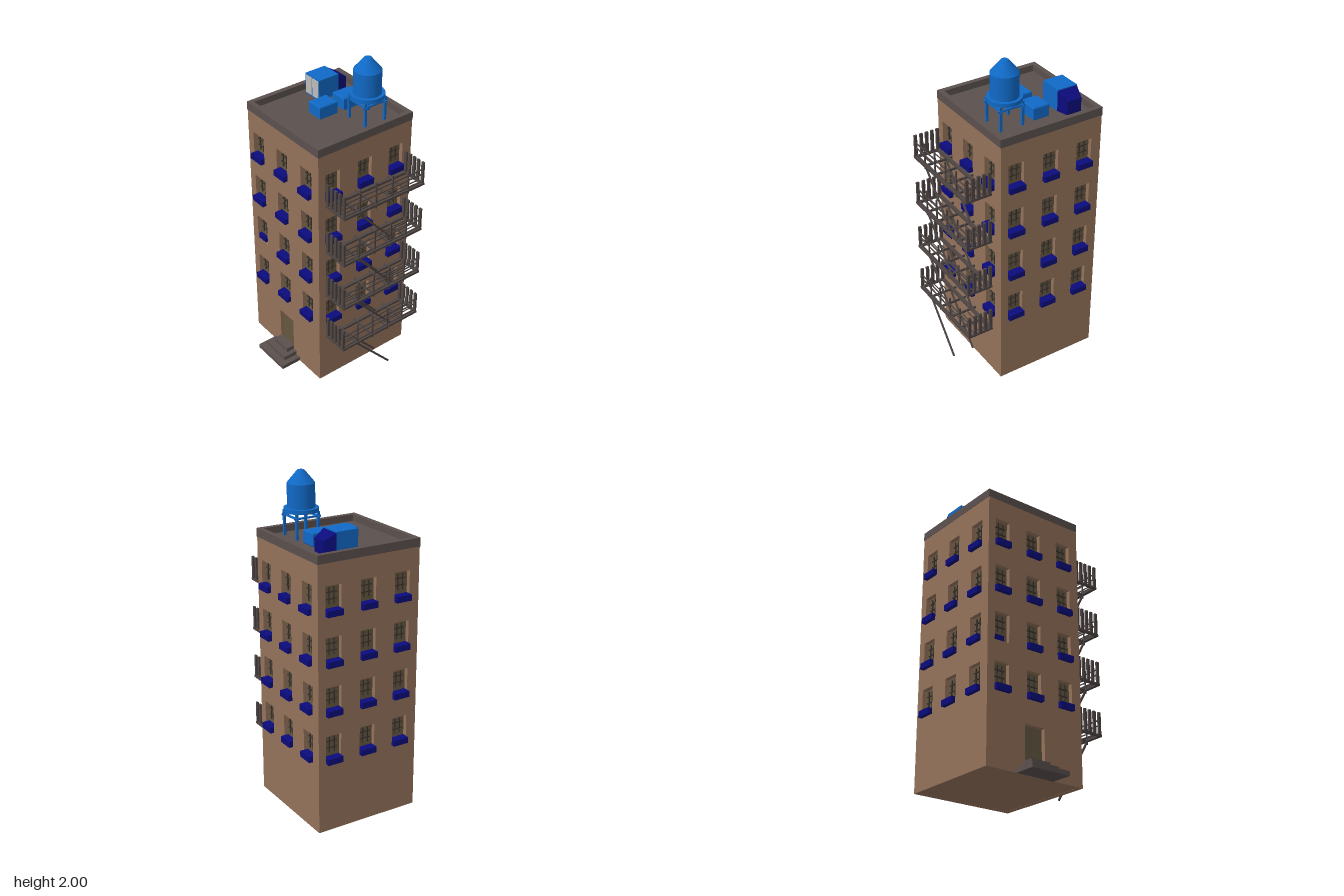
import * as THREE from 'three';

const mat = (name, color) => {
  const m = new THREE.MeshStandardMaterial({ color });
  m.name = name;
  return m;
};

export function createModel() {
  const brick = mat('brick', 0x94725a);
  const stone = mat('stone', 0x5a504e);
  const iron = mat('iron', 0x4d4543);
  const pane = mat('pane', 0x655741);
  const bar = mat('window bar', 0x3a332c);
  const blue = mat('blue', 0x1069c6);
  const navy = mat('navy', 0x0b0b7c);
  const grey = mat('light grey', 0xbcbcbc);

  const root = new THREE.Group();
  root.name = 'apartmentBuilding';

  const add = (parent, name, geometry, material) => {
    const mesh = new THREE.Mesh(geometry, material);
    mesh.name = name;
    parent.add(mesh);
    return mesh;
  };
  // Box given by its two corners
  const box = (parent, name, material, [x0, y0, z0], [x1, y1, z1]) => {
    const mesh = add(parent, name, new THREE.BoxGeometry(x1 - x0, y1 - y0, z1 - z0), material);
    mesh.position.set((x0 + x1) / 2, (y0 + y1) / 2, (z0 + z1) / 2);
    return mesh;
  };
  const group = (parent, name) => {
    const g = new THREE.Group();
    g.name = name;
    parent.add(g);
    return g;
  };
  const rect = (T, x0, y0, x1, y1) => {
    const p = new T();
    p.moveTo(x0, y0).lineTo(x1, y0).lineTo(x1, y1).lineTo(x0, y1).closePath();
    return p;
  };

  // Four walls with recessed windows, seen from outside in local coordinates
  const H = 0.331, T = 0.03, wallTop = 1.61;
  const columns = [-0.2325, -0.0075, 0.2175];
  const rows = [0.43, 0.725, 1.018, 1.312];
  const building = group(root, 'building');
  building.position.set(-0.0825, 0, -0.055);

  ['front', 'left', 'back', 'right'].forEach((side, i) => {
    const angle = [0, Math.PI / 2, Math.PI, -Math.PI / 2][i];
    const facade = group(building, side + 'Facade');
    facade.rotation.y = angle;
    facade.position.set(Math.sin(angle) * H, 0, Math.cos(angle) * H);

    const shape = rect(THREE.Shape, -H, 0, H, wallTop);
    for (const u of columns) for (const y of rows) {
      shape.holes.push(rect(THREE.Path, u - 0.05, y, u + 0.05, y + 0.17));
    }
    if (side === 'front') shape.holes.push(rect(THREE.Path, -0.073, 0.01, 0.063, 0.285));
    const wall = add(facade, 'wall', new THREE.ExtrudeGeometry(shape, { depth: T, bevelEnabled: false }), brick);
    wall.position.z = -T;
    if (side === 'front') box(facade, 'door', pane, [-0.073, 0.01, -0.034], [0.063, 0.285, -0.026]);

    for (const u of columns) rows.forEach((y, r) => {
      const win = group(facade, 'window');
      win.position.set(u, y, 0);
      box(win, 'windowPane', pane, [-0.05, 0, -0.034], [0.05, 0.17, -0.026]);
      for (const s of [-0.016, 0.016]) {
        box(win, 'verticalBar', bar, [s - 0.003, 0.06, -0.026], [s + 0.003, 0.155, -0.019]);
      }
      for (const v of [0.088, 0.128]) {
        box(win, 'crossBar', bar, [-0.034, v - 0.003, -0.026], [0.034, v + 0.003, -0.019]);
      }
      // One planter has slid back into its window
      if (side === 'front' && r === 1 && u === columns[0]) {
        box(win, 'planter', navy, [-0.05, 0, -0.026], [0.018, 0.036, -0.006]);
      } else {
        box(win, 'planter', navy, [-0.05, 0, -0.026], [0.05, 0.036, 0.025]);
      }
    });
  });
  box(building, 'base', brick, [-H + 0.002, 0.001, -H + 0.002], [H - 0.002, 0.01, H - 0.002]);
  box(building, 'roofFloor', stone, [-0.31, 1.6, -0.31], [0.31, 1.62, 0.31]);

  // Parapet ring
  const ring = rect(THREE.Shape, -0.333, -0.333, 0.333, 0.333);
  ring.holes.push(rect(THREE.Path, -0.302, -0.302, 0.302, 0.302));
  const parapet = add(building, 'parapet', new THREE.ExtrudeGeometry(ring, { depth: 0.05, bevelEnabled: false }), stone);
  parapet.rotation.x = -Math.PI / 2;
  parapet.position.y = wallTop;

  // Entrance steps
  const steps = group(root, 'steps');
  box(steps, 'lowerStep', stone, [-0.215, 0, 0.27], [0.04, 0.026, 0.408]);
  box(steps, 'middleStep', stone, [-0.18, 0.026, 0.27], [0.005, 0.052, 0.367]);
  box(steps, 'upperStep', stone, [-0.155, 0.052, 0.27], [-0.023, 0.08, 0.327]);

  // Fire escape: one platform and ladder per floor
  const slats = [0.281, 0.316, 0.351, 0.386, 0.424];
  for (let f = 0; f < 4; f++) {
    const esc = group(root, 'fireEscape');
    esc.position.y = 0.345 + f * 0.3155;
    for (const [a, b] of [[0.27, 0.29], [0.416, 0.436]]) {
      box(esc, 'sideBeam', iron, [a, 0, -0.33], [b, 0.014, 0.244]);
    }
    for (const z of [-0.324, 0.237]) {
      box(esc, 'endBeam', iron, [0.27, 0, z - 0.007], [0.436, 0.014, z + 0.007]);
      for (const x of slats) {
        box(esc, 'endBaluster', iron, [x - 0.009, 0.014, z - 0.006], [x + 0.009, 0.148, z + 0.006]);
      }
    }
    for (const z of [-0.217, -0.102, 0.014, 0.128]) {
      box(esc, 'crossBeam', iron, [0.245, -0.004, z - 0.004], [0.43, 0.01, z + 0.004]);
      box(esc, 'railPost', iron, [0.421, -0.018, z - 0.004], [0.429, 0.148, z + 0.004]);
    }
    for (const x of slats) {
      box(esc, 'floorSlat', iron, [x - 0.002, 0.004, -0.324], [x + 0.002, 0.01, -0.102]);
      box(esc, 'floorSlat', iron, [x - 0.002, 0.004, 0.128], [x + 0.002, 0.01, 0.237]);
    }
    for (const y of [0.022, 0.07, 0.102]) {
      box(esc, 'handRail', iron, [0.421, y - 0.003, -0.324], [0.428, y + 0.003, 0.237]);
    }
    // Sloping ladder stringers
    const dy = 0.287, dz = 0.255;
    for (const x of [0.286, 0.421]) {
      const rail = add(esc, 'ladderStringer', new THREE.BoxGeometry(0.009, 0.011, Math.hypot(dy, dz)), iron);
      rail.position.set(x, -0.006 - dy / 2, 0.13 - dz / 2);
      rail.rotation.x = -Math.atan2(dy, dz);
    }
  }

  // Water tank on four braced legs
  const tank = group(root, 'waterTank');
  tank.position.set(0.094, 0, -0.183);
  const L = 0.07;
  for (const x of [-L, L]) for (const z of [-L, L]) {
    box(tank, 'tankLeg', blue, [x - 0.007, 1.62, z - 0.007], [x + 0.007, 1.768, z + 0.007]);
  }
  for (const s of [-L, L]) {
    box(tank, 'legBrace', blue, [-L - 0.016, 1.736, s - 0.005], [L + 0.016, 1.746, s + 0.005]);
    box(tank, 'legBrace', blue, [s - 0.005, 1.736, -L - 0.016], [s + 0.005, 1.746, L + 0.016]);
  }
  const drum = (name, r0, r1, y0, y1) => {
    add(tank, name, new THREE.CylinderGeometry(r1, r0, y1 - y0, 32), blue).position.y = (y0 + y1) / 2;
  };
  drum('tankPlatform', 0.1, 0.1, 1.765, 1.789);
  drum('tankBody', 0.08, 0.08, 1.789, 1.928);
  drum('tankRoof', 0.08, 0.02, 1.928, 2.0);

  // Chamfered roof vents
  for (const z of [-0.193, 0.024 - 0.049]) {
    const g = new THREE.BoxGeometry(0.092, 0.08, 0.112);
    const vent = group(root, 'roofVent');
    vent.position.set(-0.098, 1.66, z + (z > -0.1 ? 0.001 : 0));
    const shape = rect(THREE.Shape, -0.046, -0.056, 0.046, 0.056);
    const body = add(vent, 'ventBody', new THREE.ExtrudeGeometry(shape, {
      depth: 0.068, bevelThickness: 0.006, bevelSize: 0.006, bevelSegments: 1,
    }), blue);
    body.rotation.x = -Math.PI / 2;
    body.position.y = -0.034;
    g.dispose();
  }

  // Roof unit with pale front panels and a tapered rear duct
  const unit = group(root, 'roofUnit');
  box(unit, 'unitBody', blue, [-0.351, 1.62, -0.23], [-0.222, 1.75, -0.091]);
  for (const x of [-0.344, -0.283]) {
    box(unit, 'frontPanel', grey, [x, 1.63, -0.092], [x + 0.054, 1.742, -0.087]);
  }
  const duct = new THREE.BoxGeometry(0.129, 0.124, 0.07);
  const p = duct.attributes.position;
  for (let i = 0; i < p.count; i++) {
    if (p.getZ(i) < 0) p.setXY(i, p.getX(i) * 0.72, p.getY(i) > 0 ? 0.022 : -0.062);
  }
  duct.computeVertexNormals();
  add(unit, 'rearDuct', duct, navy).position.set(-0.2865, 1.682, -0.265);

  return root;
}
